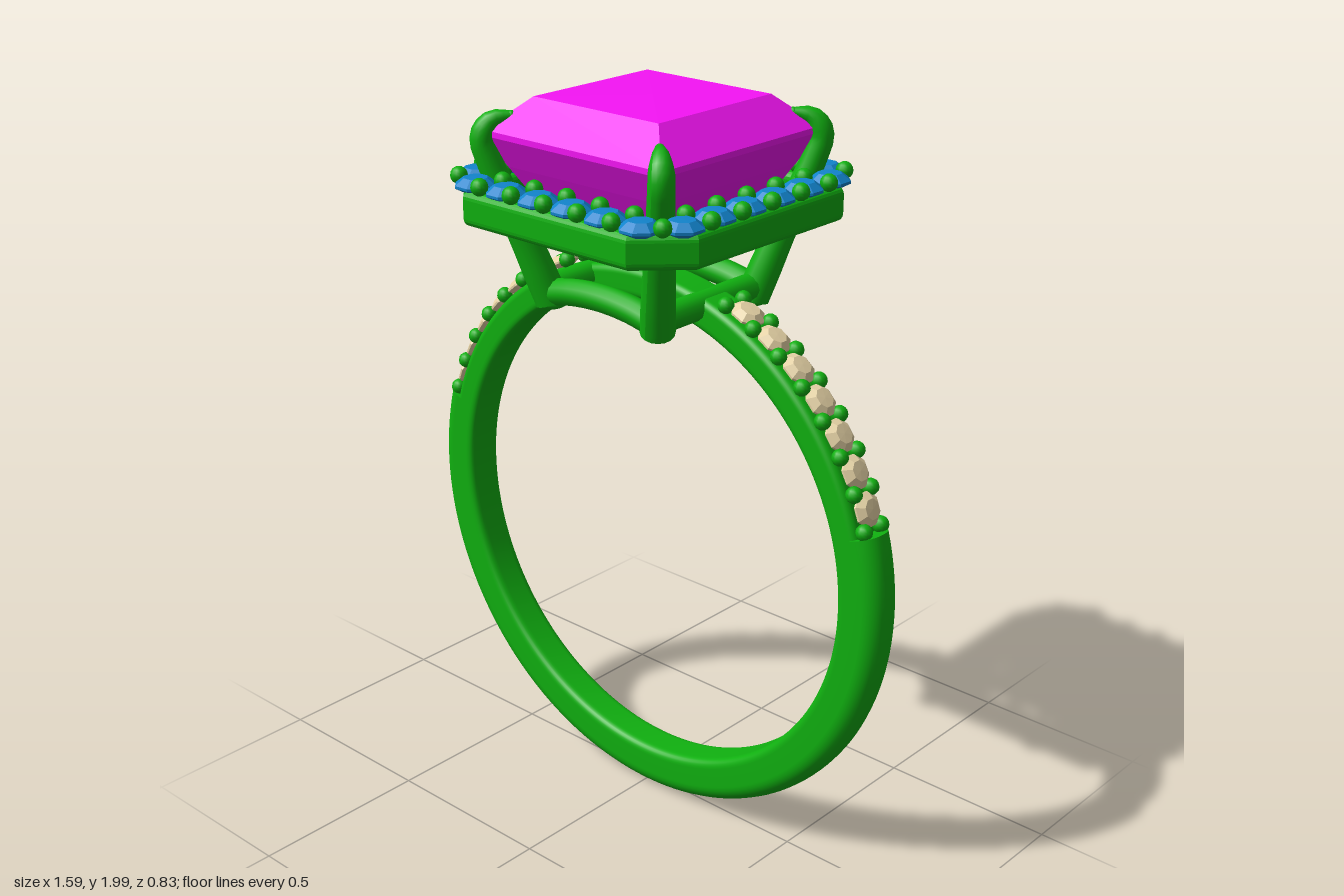
import * as THREE from 'three';

const mat = (color, flatShading = false) =>
  new THREE.MeshStandardMaterial({ color, flatShading, side: THREE.DoubleSide });
const metal = mat(0x10b010);
const magenta = mat(0xf614f6, true);
const blue = mat(0x1284cc, true);
const cream = mat(0xe6d3a6, true);
const V = (x, y, z) => new THREE.Vector3(x, y, z);
const CENTER_Y = 0.803, INNER = 0.667;

function add(parent, name, geometry, material, x = 0, y = 0, z = 0) {
  const mesh = new THREE.Mesh(geometry, material);
  mesh.name = name;
  mesh.position.set(x, y, z);
  parent.add(mesh);
  return mesh;
}

// Rounded band section: x is the radius, y is the width
function bandSection(outer, round) {
  const w = 0.055, c = 0.025, s = new THREE.Shape();
  s.moveTo(INNER, 0);
  s.lineTo(INNER, -w + c);
  s.quadraticCurveTo(INNER, -w, INNER + c, -w);
  s.lineTo(outer - round, -w);
  s.bezierCurveTo(outer - round * 0.45, -w, outer, -w + round * 0.45, outer, -w + round);
  s.lineTo(outer, w - round);
  s.bezierCurveTo(outer, w - round * 0.45, outer - round * 0.45, w, outer - round, w);
  s.lineTo(INNER + c, w);
  s.quadraticCurveTo(INNER, w, INNER, w - c);
  s.lineTo(INNER, 0);
  return s;
}

// Arc of band; angles are measured from the bottom towards +x
function bandArc(parent, name, section, from, length, segments) {
  const g = new THREE.LatheGeometry(section.getPoints(7), segments, from, length);
  add(parent, name, g.rotateX(Math.PI / 2), metal, 0, CENTER_Y);
  for (const phi of [from, from + length]) {
    const cap = new THREE.ShapeGeometry(section, 7);
    cap.rotateY(phi - Math.PI / 2).rotateX(Math.PI / 2);
    add(parent, name + 'End', cap, metal, 0, CENTER_Y);
  }
}

// Round cut stone with its girdle at y = 0
function roundStone(r) {
  const p = [[0, -0.6], [1, -0.06], [1, 0.06], [0.58, 0.38], [0, 0.4]];
  return new THREE.LatheGeometry(p.map(([x, y]) => new THREE.Vector2(x * r, y * r)), 8)
    .rotateY(Math.PI / 8);
}

// Tube whose radius follows a list along its length
function taperedTube(points, radii) {
  const n = 32, sides = 16;
  const curve = new THREE.CatmullRomCurve3(points);
  const g = new THREE.TubeGeometry(curve, n, 1, sides);
  const pos = g.attributes.position, v = V(0, 0, 0);
  for (let i = 0; i <= n; i++) {
    const center = curve.getPointAt(i / n);
    const t = (i / n) * (radii.length - 1), k = Math.min(Math.floor(t), radii.length - 2);
    const r = THREE.MathUtils.lerp(radii[k], radii[k + 1], t - k);
    for (let j = 0; j <= sides; j++) {
      const id = i * (sides + 1) + j;
      v.fromBufferAttribute(pos, id).sub(center).multiplyScalar(r).add(center);
      pos.setXYZ(id, v.x, v.y, v.z);
    }
  }
  g.computeVertexNormals();
  return g;
}

function buildBand() {
  const band = new THREE.Group();
  band.name = 'band';
  const half = THREE.MathUtils.degToRad(106.5);
  bandArc(band, 'shank', bandSection(0.797, 0.05), -half, half * 2, 96);
  bandArc(band, 'shoulders', bandSection(0.75, 0.02), half, Math.PI * 2 - half * 2, 64);

  // Stones and beads along both shoulders
  const stone = roundStone(0.047), bead = new THREE.SphereGeometry(0.022, 12, 8);
  const step = 7.3;
  for (const side of [-1, 1]) {
    for (let i = 0; i <= 7; i++) {
      const place = (deg, r) => {
        const a = THREE.MathUtils.degToRad(deg);
        return [side * Math.cos(a) * r, CENTER_Y + Math.sin(a) * r, a];
      };
      if (i < 7) {
        const [x, y, a] = place(21.3 + i * step, 0.765);
        add(band, 'shoulderStone', stone, cream, x, y).rotation.z = side * (a - Math.PI / 2);
      }
      const [x, y] = place(21.3 + (i - 0.5) * step, 0.767);
      for (const z of [-0.034, 0.034]) add(band, 'shoulderBead', bead, metal, x, y, z);
    }
  }
  return band;
}

function buildHalo() {
  const halo = new THREE.Group();
  halo.name = 'halo';

  // Square frame with cut corners and a square opening
  const a = 0.38, c = 0.27, h = 0.308;
  const shape = new THREE.Shape([[a, -c], [a, c], [c, a], [-c, a], [-a, c], [-a, -c], [-c, -a], [c, -a]]
    .map(([x, y]) => new THREE.Vector2(x, y)));
  shape.holes.push(new THREE.Path([[h, h], [h, -h], [-h, -h], [-h, h]]
    .map(([x, y]) => new THREE.Vector2(x, y))));
  const frame = new THREE.ExtrudeGeometry(shape, {
    depth: 0.05, bevelThickness: 0.02, bevelSize: 0.018, bevelSegments: 4,
  });
  add(halo, 'haloFrame', frame.rotateX(-Math.PI / 2), metal, 0, 1.71);

  // Six stones per side, with bead pairs between them
  const stone = roundStone(0.055), bead = new THREE.SphereGeometry(0.023, 12, 8);
  for (let s = 0; s < 4; s++) {
    const side = new THREE.Group();
    side.name = 'haloSide';
    side.rotation.y = s * Math.PI / 2;
    halo.add(side);
    for (let i = 0; i < 6; i++) {
      const x = -0.28 + i * 0.112;
      add(side, 'haloStone', stone, blue, x, 1.787, 0.35);
      for (const off of [-0.04, 0.04]) {
        if (i < 5) add(side, 'haloBead', bead, metal, x + 0.056, 1.8, 0.35 + off);
        else add(side, 'cornerBead', bead, metal, 0.318 + off * 0.7, 1.8, 0.318 + off * 0.7);
      }
    }
  }
  return halo;
}

function buildSetting() {
  const setting = new THREE.Group();
  setting.name = 'setting';

  // Four slanted posts that end in claws over the gem corners
  const path = [[0.185, 1.465], [0.248, 1.69], [0.292, 1.84], [0.302, 1.895], [0.285, 1.94], [0.25, 1.952]];
  const claw = taperedTube(path.map(([d, y]) => V(d, y, d)),
    [0.045, 0.044, 0.041, 0.039, 0.036, 0.034, 0.032, 0.012]);
  const foot = new THREE.SphereGeometry(0.045, 16, 10).scale(1, 0.5, 1);
  const tip = new THREE.SphereGeometry(0.0125, 12, 8);
  for (let i = 0; i < 4; i++) {
    const prong = new THREE.Group();
    prong.name = 'prong';
    prong.rotation.y = i * Math.PI / 2;
    add(prong, 'claw', claw, metal);
    add(prong, 'prongFoot', foot, metal, 0.185, 1.465, 0.185);
    add(prong, 'clawTip', tip, metal, 0.25, 1.952, 0.25);
    setting.add(prong);
  }

  // Base rails: arched at front and back, straight at the sides
  const arch = new THREE.CatmullRomCurve3([-0.19, -0.1, 0, 0.1, 0.19]
    .map((x) => V(x, CENTER_Y + Math.sqrt(0.709 ** 2 - x * x), 0)));
  const archRail = new THREE.TubeGeometry(arch, 20, 0.036, 12);
  const sideRail = new THREE.CylinderGeometry(0.036, 0.036, 0.38, 12).rotateX(Math.PI / 2);
  for (const s of [-1, 1]) {
    add(setting, 'archedRail', archRail, metal, 0, 0, s * 0.19);
    add(setting, 'sideRail', sideRail, metal, s * 0.19, 1.497, 0);
  }
  return setting;
}

export function createModel() {
  const ring = new THREE.Group();
  ring.name = 'ring';
  ring.add(buildBand(), buildHalo(), buildSetting());

  // Square cut centre gem
  const cut = [[0, 1.555], [0.185, 1.69], [0.258, 1.82], [0.3, 1.9], [0.3, 1.915], [0.21, 1.998], [0, 2]];
  const gem = new THREE.LatheGeometry(cut.map(([x, y]) => new THREE.Vector2(x * Math.SQRT2, y)), 4);
  add(ring, 'centreGem', gem.rotateY(Math.PI / 4), magenta);
  return ring;
}
